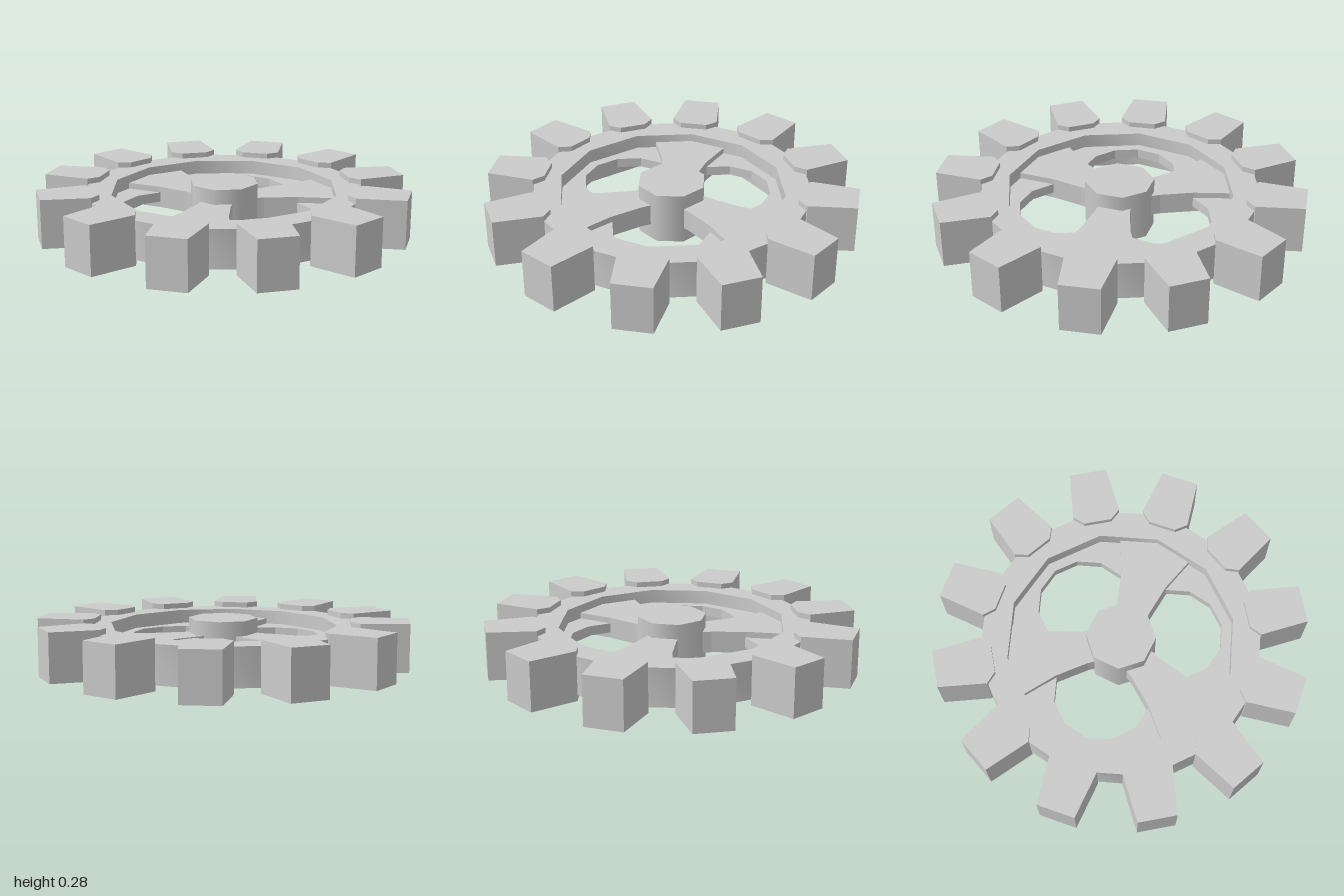
import * as THREE from 'three';
import { toCreasedNormals } from 'three/addons/utils/BufferGeometryUtils.js';

const material = new THREE.MeshStandardMaterial({ color: 0xcccccc });

// Regular polygon as [x, z] pairs
const polygon = (radius, sides) => Array.from({ length: sides }, (_, i) => {
  const a = (i / sides) * Math.PI * 2;
  return [Math.sin(a) * radius, Math.cos(a) * radius];
});

const toVectors = (points) => points.map(([x, z]) => new THREE.Vector2(x, -z));

// Flat plate from an [x, z] outline, between heights y0 and y1
function plate(outline, y0, y1, hole) {
  const shape = new THREE.Shape(toVectors(outline));
  if (hole) shape.holes.push(new THREE.Path(toVectors(hole)));
  const geometry = new THREE.ExtrudeGeometry(shape, { depth: y1 - y0, bevelEnabled: false });
  return geometry.rotateX(-Math.PI / 2).translate(0, y0, 0);
}

// Complete an outline given as its +x half
const mirrored = (half) => [...half, ...half.map(([x, z]) => [-x, z]).reverse()];

export function createModel() {
  const gear = new THREE.Group();
  gear.name = 'gear';

  const add = (name, geometry, angle = 0) => {
    const mesh = new THREE.Mesh(geometry, material);
    mesh.name = name;
    mesh.rotation.y = angle;
    gear.add(mesh);
  };

  // Rim
  const rim = plate(polygon(0.77, 12), 0.04, 0.245, polygon(0.615, 12));
  add('rim', toCreasedNormals(rim, 0.9));

  // Central hub
  const hub = new THREE.CylinderGeometry(0.187, 0.187, 0.28, 8);
  add('hub', hub.translate(0, 0.14, 0));

  // Teeth, with chamfered inner corners
  const tooth = plate(mirrored([[0.075, 0.69], [0.13, 0.74], [0.103, 1]]), 0.012, 0.275);
  for (let i = 0; i < 12; i++) add('tooth', tooth, (i * Math.PI) / 6);

  // Flared spokes
  const spoke = plate(
    mirrored([[0.085, 0.1], [0.092, 0.2], [0.13, 0.38], [0.2, 0.561], [0, 0.615]]),
    0.083, 0.2);

  // Thin crescent webs between the spokes
  const inner = [];
  for (let i = 0; i <= 6; i++) {
    const a = (i * Math.PI) / 6;
    inner.push([Math.cos(a) * 0.26, 0.3 + Math.sin(a) * 0.26]);
  }
  const web = plate(
    [[-0.39, 0.456], [-0.3075, 0.5326], [0, 0.615], [0.3075, 0.5326], [0.39, 0.456], ...inner],
    0.115, 0.168);

  for (let i = 0; i < 3; i++) {
    const angle = (i * Math.PI * 2) / 3;
    add('spoke', spoke, angle);
    add('web', web, angle + Math.PI);
  }

  return gear;
}
